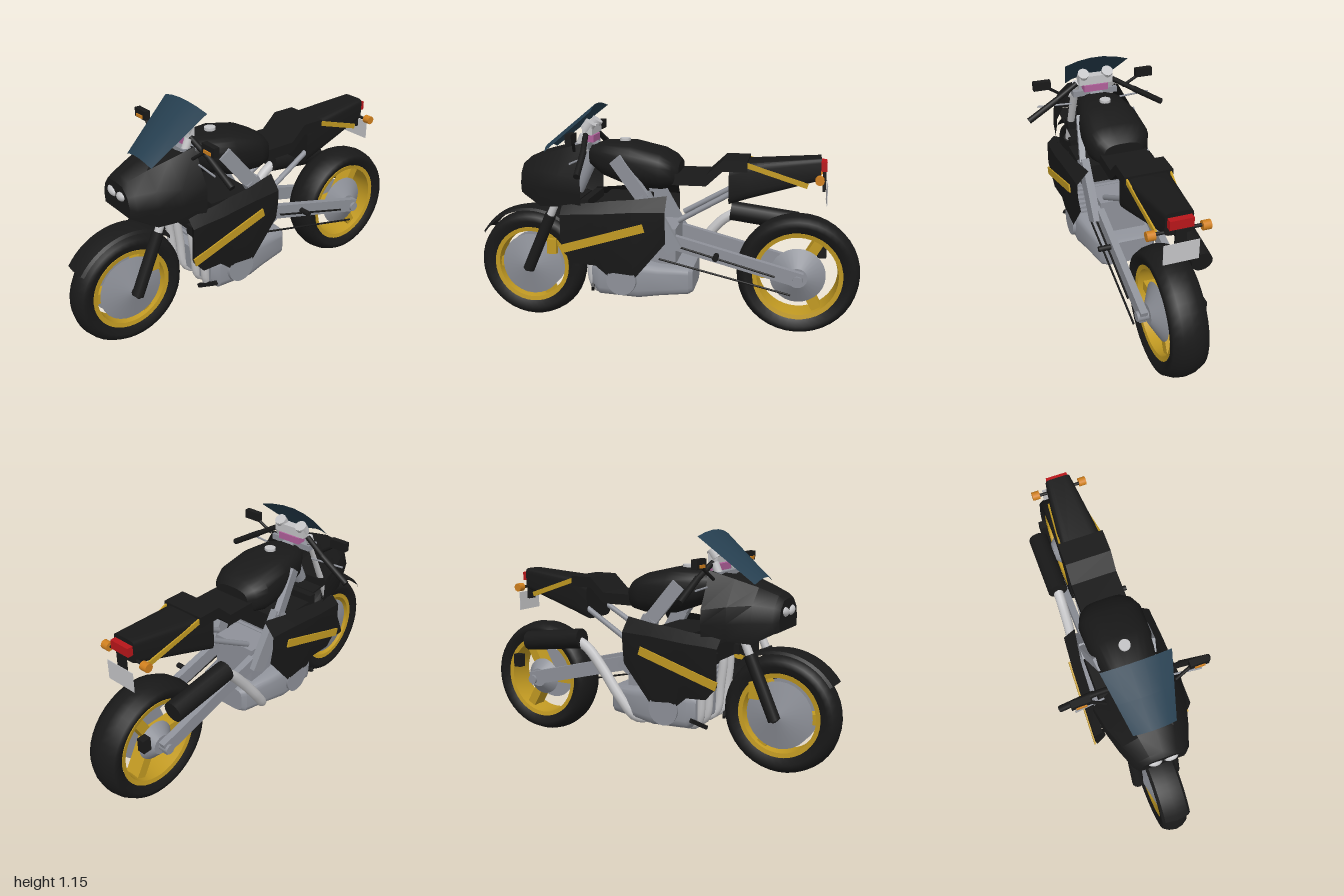
import * as THREE from 'three';
import { toCreasedNormals } from 'three/addons/utils/BufferGeometryUtils.js';

const mat = (name, color) => {
  const m = new THREE.MeshStandardMaterial({ color, side: THREE.DoubleSide });
  m.name = name;
  return m;
};
const V = (p) => new THREE.Vector3(...p);

export function createModel() {
  const black = mat('black', 0x191919), grey = mat('metal grey', 0x8e9199), silver = mat('silver', 0xc4c4c6);
  const gold = mat('gold', 0xc29a22), glass = mat('tinted glass', 0x263f50), red = mat('red', 0xb8161a);
  const orange = mat('orange', 0xd0801e), pink = mat('pink', 0xb0609a);
  const root = new THREE.Group();

  const add = (name, geo, material, pos = [0, 0, 0], parent = root) => {
    const m = new THREE.Mesh(geo, material);
    m.name = name;
    m.position.set(...pos);
    parent.add(m);
    return m;
  };
  const box = (name, size, pos, material) => add(name, new THREE.BoxGeometry(...size), material, pos);
  // straight rod or beam between two points
  const rod = (name, a, b, r, material) => {
    const d = V(b).sub(V(a));
    const m = add(name, new THREE.CylinderGeometry(r, r, d.length(), 14), material, V(a).add(V(b)).multiplyScalar(0.5).toArray());
    m.quaternion.setFromUnitVectors(new THREE.Vector3(0, 1, 0), d.normalize());
    return m;
  };
  const beam = (name, a, b, w, h, material) => {
    const mid = V(a).add(V(b)).multiplyScalar(0.5);
    const m = add(name, new THREE.BoxGeometry(w, h, V(a).distanceTo(V(b))), material, mid.toArray());
    m.lookAt(V(b));
    return m;
  };
  const pipe = (name, pts, r, material) =>
    add(name, new THREE.TubeGeometry(new THREE.CatmullRomCurve3(pts.map(V)), 24, r, 10), material);
  const disc = (name, r, w, pos, material, r2 = r) =>
    add(name, new THREE.CylinderGeometry(r2, r, w, 28).rotateZ(-Math.PI / 2), material, pos);
  // skin over equal-length rows of points
  const skin = (rows, closed = false, crease = 0.6) => {
    const n = rows[0].length, idx = [];
    for (let i = 0; i < rows.length - 1; i++)
      for (let j = 0; j < (closed ? n : n - 1); j++) {
        const a = i * n + j, b = i * n + (j + 1) % n;
        idx.push(a, a + n, b, b, a + n, b + n);
      }
    if (closed) for (let j = 1; j < n - 1; j++) {
      const e = (rows.length - 1) * n;
      idx.push(0, j, j + 1, e, e + j + 1, e + j);
    }
    const g = new THREE.BufferGeometry();
    g.setAttribute('position', new THREE.Float32BufferAttribute(rows.flat(2), 3));
    g.setIndex(idx);
    return toCreasedNormals(g, crease);
  };
  // closed body from sections [z, half width, bottom, top]; power shapes the corners
  const body = (name, sections, power, material, n = 24) => add(name, skin(sections.map(([z, w, y0, y1]) =>
    Array.from({ length: n }, (_, i) => {
      const t = (i + 0.5) / n * Math.PI * 2, c = Math.cos(t), s = Math.sin(t);
      const f = (v) => Math.sign(v) * Math.abs(v) ** power;
      return [w * f(c), (y0 + y1) / 2 + (y1 - y0) / 2 * f(s), z];
    })), true), material);
  // side-view outline of [z, y] points extruded across x
  const slab = (name, pts, w, material) => {
    const g = new THREE.ExtrudeGeometry(new THREE.Shape(pts.map((p) => new THREE.Vector2(...p))), { depth: w, bevelEnabled: false });
    return add(name, g.rotateY(-Math.PI / 2).translate(w / 2, 0, 0), material);
  };

  // wheels
  const wheel = (name, R, rimR, w, y, z) => {
    const g = new THREE.Group();
    g.name = name;
    g.position.set(0, y, z);
    root.add(g);
    const lathe = (pts) => new THREE.LatheGeometry(pts.map((p) => new THREE.Vector2(...p)), 40).rotateZ(Math.PI / 2);
    const h = R - rimR;
    add('tyre', lathe([[rimR, -w * 0.75], [rimR + h * 0.4, -w], [rimR + h * 0.7, -w * 0.93], [R - h * 0.08, -w * 0.5], [R, 0],
      [R - h * 0.08, w * 0.5], [rimR + h * 0.7, w * 0.93], [rimR + h * 0.4, w], [rimR, w * 0.75]]), black, [0, 0, 0], g);
    add('rim', toCreasedNormals(lathe([[rimR, -w * 0.8], [rimR - 0.022, -w * 0.75], [rimR - 0.026, 0], [rimR - 0.022, w * 0.75], [rimR, w * 0.8]]), 0.5), gold, [0, 0, 0], g);
    for (let i = 0; i < 3; i++) {
      const s = add('spoke', new THREE.BoxGeometry(w * 0.9, 0.05, rimR - 0.02).translate(0, 0, (rimR - 0.02) / 2), gold, [0, 0, 0], g);
      s.rotation.x = i * Math.PI * 2 / 3;
    }
  };
  wheel('frontWheel', 0.29, 0.205, 0.067, 0.29, 0.71);
  wheel('rearWheel', 0.31, 0.225, 0.09, 0.31, -0.69);

  // front mudguard
  const arc = [];
  for (let i = 0; i <= 16; i++) {
    const a = 0.6 + i / 16 * 1.75;
    arc.push([[-0.072, 0.3], [-0.06, 0.312], [0, 0.322], [0.06, 0.312], [0.072, 0.3]]
      .map(([x, r]) => [x, 0.29 + r * Math.sin(a), 0.71 + r * Math.cos(a)]));
  }
  add('frontMudguard', skin(arc), black);

  for (const s of [-1, 1]) {
    // fork, brakes and hub
    rod('forkLower', [s * 0.1, 0.28, 0.71], [s * 0.1, 0.58, 0.578], 0.03, black);
    rod('forkUpper', [s * 0.1, 0.56, 0.587], [s * 0.1, 1.0, 0.39], 0.02, silver);
    disc('frontBrakeDisc', s > 0 ? 0.165 : 0.02, 0.035, [s * 0.058, 0.29, 0.71], grey, s > 0 ? 0.02 : 0.165);
    box('frontCaliper', [0.03, 0.08, 0.05], [s * 0.058, 0.4, 0.59], gold);
    // handlebars, levers and mirrors
    rod('handlebar', [s * 0.1, 1.0, 0.38], [s * 0.22, 0.93, 0.36], 0.014, black);
    rod('handGrip', [s * 0.21, 0.936, 0.36], [s * 0.37, 0.84, 0.35], 0.016, black);
    rod('lever', [s * 0.13, 0.89, 0.38], [s * 0.31, 0.89, 0.4], 0.005, grey);
    rod('mirrorStem', [s * 0.17, 0.93, 0.42], [s * 0.25, 0.99, 0.4], 0.008, black);
    box('mirror', [0.092, 0.046, 0.03], [s * 0.281, 1.008, 0.4], black);
    box('mirrorIndicator', [0.05, 0.015, 0.008], [s * 0.281, 0.998, 0.417], orange);
    // headlight
    const lamp = add('headlight', new THREE.SphereGeometry(1, 16, 10), silver, [s * 0.039, 0.785, 0.718]);
    lamp.scale.set(0.037, 0.024, 0.022);
    lamp.rotation.z = s * 0.25;
    // side fairing, from a folded front lip to the rear edge
    const panel = [
      [0.45, [0.185, 0.66], [0.19, 0.62], [0.19, 0.5], [0.185, 0.42]],
      [0.48, [0.21, 0.66], [0.25, 0.62], [0.25, 0.5], [0.24, 0.44]],
      [0.42, [0.208, 0.67], [0.25, 0.625], [0.247, 0.48], [0.235, 0.37]],
      [0.31, [0.205, 0.68], [0.25, 0.63], [0.242, 0.46], [0.222, 0.36]],
      [0.24, [0.2, 0.69], [0.245, 0.635], [0.24, 0.45], [0.217, 0.3]],
      [0.12, [0.195, 0.70], [0.24, 0.645], [0.236, 0.46], [0.217, 0.29]],
      [-0.045, [0.17, 0.72], [0.23, 0.65], [0.228, 0.58], [0.215, 0.49]],
    ];
    add('sideFairing', skin(panel.map(([z, ...p]) => p.map(([x, y]) => [s * x, y, z]))), black);
    beam('sideStripe', [s * 0.251, 0.445, 0.48], [s * 0.242, 0.57, 0.06], 0.008, 0.042, gold);
    beam('bellyEdge', [s * 0.21, 0.25, 0.33], [s * 0.1, 0.19, 0.36], 0.015, 0.02, black);
    // frame, swingarm and subframe
    beam('frameUpper', [s * 0.135, 0.89, 0.22], [s * 0.165, 0.7, 0.07], 0.03, 0.07, grey);
    beam('frameLower', [s * 0.16, 0.72, 0.08], [s * 0.15, 0.44, -0.08], 0.04, 0.08, grey);
    beam('swingarm', [s * 0.12, 0.48, -0.05], [s * 0.12, 0.31, -0.71], 0.035, 0.072, grey);
    rod('subframe', [s * 0.1, 0.58, -0.09], [s * 0.09, 0.74, -0.37], 0.014, grey);
    // engine side cover and radiator side duct
    disc('engineCover', 0.08, 0.03, [s * 0.205, 0.285, 0.18], grey, 0.075);
    box('radiatorDuct', [0.1, 0.05, 0.06], [s * 0.165, 0.55, 0.4], black);
    // tail stripe and rear indicators
    beam('tailStripe', [s * 0.107, 0.875, -0.42], [s * 0.077, 0.775, -0.72], 0.009, 0.025, gold);
    rod('indicatorStem', [s * 0.04, 0.815, -0.77], [s * 0.115, 0.815, -0.77], 0.008, black);
    rod('rearIndicator', [s * 0.107, 0.815, -0.775], [s * 0.145, 0.815, -0.775], 0.022, orange);
    // instrument dials
    rod('dial', [s * 0.065, 1.02, 0.39], [s * 0.065, 1.06, 0.36], 0.03, silver);
  }
  disc('rearHubLeft', 0.14, 0.05, [0.07, 0.31, -0.69], grey, 0.05);
  disc('rearHubRight', 0.05, 0.05, [-0.07, 0.31, -0.69], grey, 0.1);
  rod('footPeg', [0.12, 0.42, -0.29], [0.2, 0.42, -0.29], 0.014, black);

  // nose fairing from mirrored half sections, closed at the front
  const nose = [
    [0.725, [0, 0.845], [0.06, 0.84], [0.1, 0.80], [0.115, 0.75], [0.11, 0.7]],
    [0.7, [0, 0.87], [0.065, 0.86], [0.12, 0.81], [0.14, 0.74], [0.13, 0.69]],
    [0.61, [0, 0.91], [0.085, 0.895], [0.16, 0.82], [0.175, 0.74], [0.16, 0.64]],
    [0.5, [0, 0.94], [0.11, 0.93], [0.2, 0.81], [0.205, 0.73], [0.195, 0.65]],
    [0.38, [0, 0.945], [0.13, 0.965], [0.222, 0.79], [0.222, 0.72], [0.21, 0.6]],
  ];
  const noseRows = nose.map(([z, ...p]) =>
    [...p.slice(1).reverse().map(([x, y]) => [-x, y, z]), ...p.map(([x, y]) => [x, y, z])]);
  add('noseFairing', skin(noseRows), black);
  add('noseFront', new THREE.ShapeGeometry(new THREE.Shape(noseRows[0].map(([x, y]) => new THREE.Vector2(x, y)))), black, [0, 0, 0.725]);
  slab('noseUnderside', [[0.71, 0.705], [0.71, 0.695], [0.42, 0.66], [0.42, 0.67]], 0.25, black);

  // windscreen, bowed upward in the middle
  const screen = [0, 0.5, 1].map((t) => [-1, -0.6, -0.2, 0.2, 0.6, 1].map((u) =>
    [u * (0.105 + 0.063 * t), 0.935 + 0.215 * t - 0.026 * u * u, 0.61 - 0.265 * t - 0.012 * u * u]));
  add('windscreen', skin(screen, false, 1), glass);

  // dash and steering head
  box('dashPanel', [0.18, 0.045, 0.05], [0, 1.02, 0.375], silver);
  box('dashMount', [0.13, 0.035, 0.05], [0, 0.975, 0.375], pink);
  box('upperClamp', [0.24, 0.03, 0.07], [0, 0.945, 0.4], grey);
  box('lowerClamp', [0.25, 0.04, 0.07], [0, 0.7, 0.52], black);
  rod('steeringHead', [0, 0.7, 0.46], [0, 0.95, 0.34], 0.035, grey);

  // tank, seat and tail
  body('fuelTank', [[0.37, 0.08, 0.84, 0.94], [0.3, 0.125, 0.79, 0.962], [0.15, 0.155, 0.735, 0.965], [0, 0.16, 0.73, 0.93],
    [-0.06, 0.135, 0.74, 0.9], [-0.09, 0.1, 0.755, 0.87]], 0.7, black);
  rod('tankCap', [0, 0.955, 0.2], [0, 0.977, 0.2], 0.028, silver);
  slab('seat', [[-0.05, 0.82], [-0.23, 0.82], [-0.31, 0.895], [-0.43, 0.895], [-0.43, 0.84], [-0.31, 0.84], [-0.23, 0.765], [-0.05, 0.765]], 0.235, black);
  body('tail', [[-0.34, 0.11, 0.67, 0.86], [-0.43, 0.107, 0.7, 0.885], [-0.78, 0.065, 0.8, 0.913]], 0.3, black);
  box('tailLight', [0.11, 0.045, 0.032], [0, 0.868, -0.793], red);
  box('plateBracket', [0.05, 0.1, 0.015], [0, 0.79, -0.8], black);
  box('plate', [0.165, 0.1, 0.003], [0, 0.73, -0.815], silver);

  // engine
  body('crankcase', [[0.34, 0.18, 0.23, 0.36], [0.3, 0.205, 0.19, 0.38], [0.1, 0.205, 0.18, 0.38], [0, 0.18, 0.19, 0.36], [-0.15, 0.15, 0.2, 0.35], [-0.17, 0.13, 0.21, 0.34]], 0.35, grey);
  box('gearbox', [0.24, 0.24, 0.16], [0, 0.42, 0], grey);
  box('cylinderCore', [0.32, 0.24, 0.18], [0, 0.48, 0.2], grey);
  for (let i = 0; i < 7; i++) box('coolingFin', [0.38, 0.012, 0.22], [0, 0.39 + i * 0.028, 0.2], grey);
  box('cylinderHead', [0.34, 0.1, 0.24], [0, 0.62, 0.2], black);
  box('radiator', [0.3, 0.16, 0.04], [0, 0.6, 0.38], black);

  // exhaust headers, link pipe and silencer
  for (const x of [-0.14, -0.06, 0.06, 0.14])
    pipe('exhaustHeader', [[x * 0.9, 0.58, 0.3], [x, 0.54, 0.36], [x * 1.05, 0.36, 0.355], [x * 0.95, 0.22, 0.33], [x * 0.6, 0.185, 0.22], [x * 0.4 - 0.04, 0.185, 0]], 0.022, silver);
  pipe('exhaustLink', [[-0.04, 0.185, 0.04], [-0.14, 0.2, -0.02], [-0.17, 0.3, -0.1], [-0.17, 0.43, -0.2], [-0.17, 0.53, -0.29], [-0.17, 0.57, -0.36]], 0.027, silver);
  rod('silencer', [-0.17, 0.58, -0.33], [-0.17, 0.535, -0.68], 0.052, black);

  // chain run, rear brake and axles
  rod('chainUpper', [0.15, 0.48, -0.02], [0.15, 0.33, -0.58], 0.005, black);
  rod('chainLower', [0.15, 0.39, 0], [0.15, 0.24, -0.66], 0.005, black);
  box('rearCaliper', [0.04, 0.07, 0.045], [-0.11, 0.4, -0.81], black);
  rod('rearAxle', [-0.15, 0.31, -0.69], [0.15, 0.31, -0.69], 0.025, grey);
  rod('frontAxle', [-0.12, 0.29, 0.71], [0.12, 0.29, 0.71], 0.018, black);
  return root;
}
